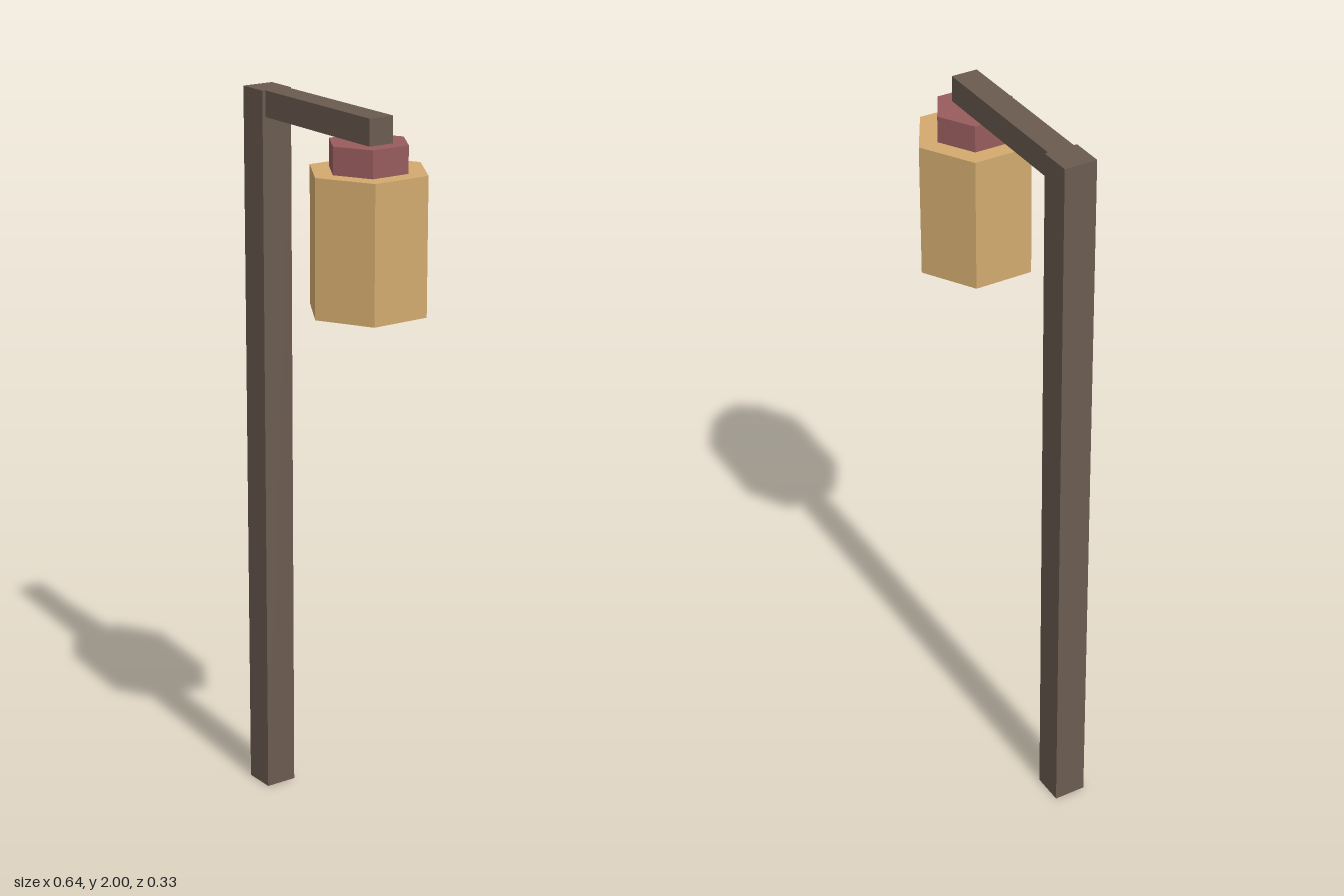
import * as THREE from 'three';

export function createModel() {
  const model = new THREE.Group();
  model.name = 'hangingLanternPost';

  const material = (name, color) => {
    const m = new THREE.MeshStandardMaterial({ color, flatShading: true });
    m.name = name;
    return m;
  };
  const wood = material('dark wood', 0x6b5b50);
  const capRed = material('dull red', 0x985c5d);
  const glass = material('amber', 0xd2aa6e);

  const add = (name, geometry, mat, x, y) => {
    const mesh = new THREE.Mesh(geometry, mat);
    mesh.name = name;
    mesh.position.set(x, y, 0);
    model.add(mesh);
  };

  // Upright post and the slimmer arm reaching out over the lantern
  add('post', new THREE.BoxGeometry(0.09, 2, 0.09), wood, -0.276, 1);
  add('arm', new THREE.BoxGeometry(0.463, 0.07, 0.072), wood, 0.0005, 1.965);

  // Hexagonal lantern hung under the arm, corners pointing along z
  const lanternX = 0.179;
  add('lanternCap', new THREE.CylinderGeometry(0.109, 0.109, 0.072, 6), capRed, lanternX, 1.894);
  add('lanternBody', new THREE.CylinderGeometry(0.163, 0.163, 0.364, 6), glass, lanternX, 1.676);

  return model;
}
